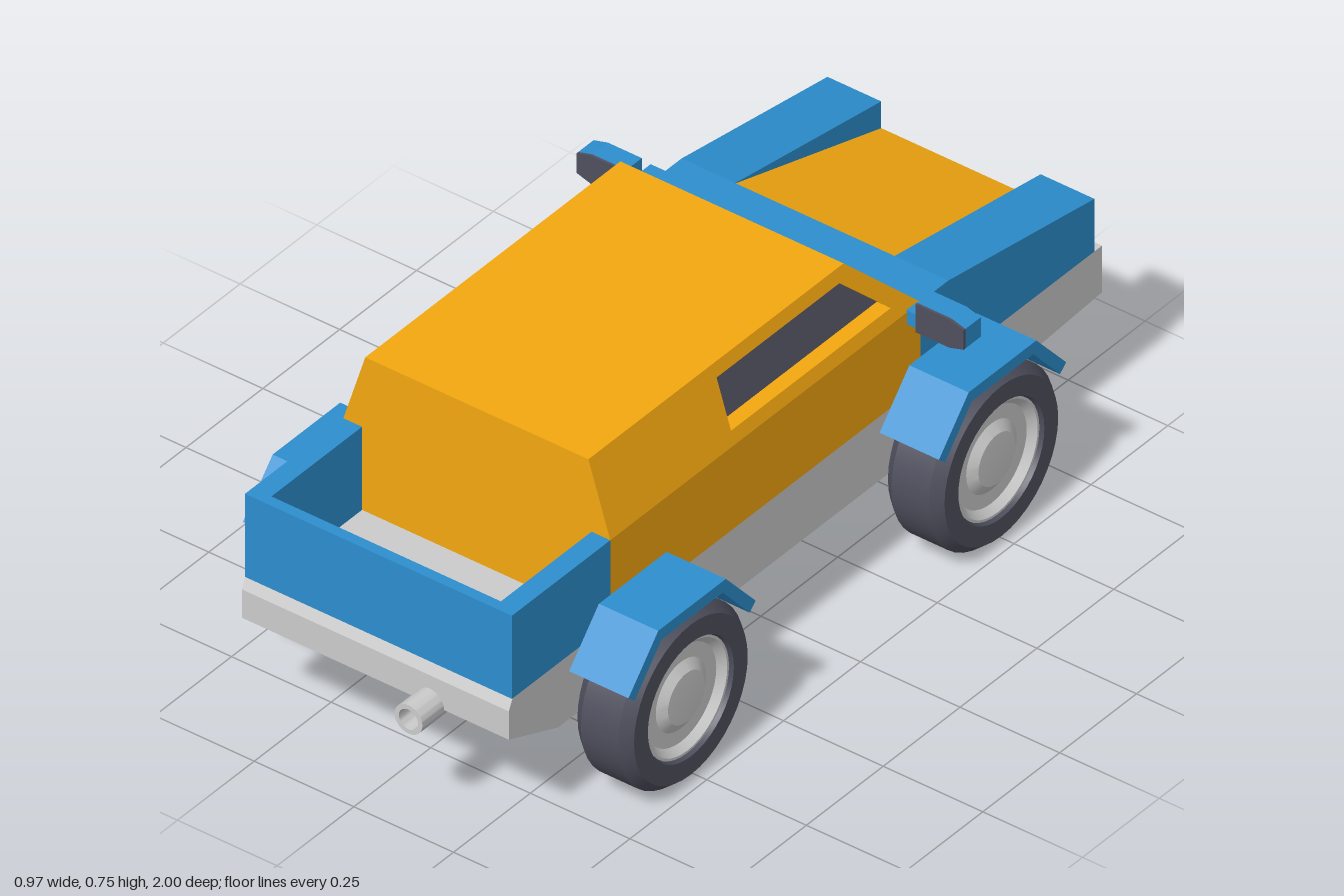
import * as THREE from 'three';
import { toCreasedNormals } from 'three/addons/utils/BufferGeometryUtils.js';

const mat = (color) => new THREE.MeshStandardMaterial({ color, side: THREE.DoubleSide });
const blue = mat(0x2d8fcf), orange = mat(0xf5a810), grey = mat(0xcccccc), dark = mat(0x50505f);

const shapeOf = (pts) => new THREE.Shape(pts.map((p) => new THREE.Vector2(p[0], p[1])));

function extrude(pts, depth, hole) {
  const shape = shapeOf(pts);
  if (hole) shape.holes.push(shapeOf(hole));
  return new THREE.ExtrudeGeometry(shape, { depth, bevelEnabled: false });
}

// side profile given as [z, y], swept in x from x0 to x1
const profile = (pts, x0, x1, hole) =>
  extrude(pts, x1 - x0, hole).rotateY(-Math.PI / 2).translate(x1, 0, 0);

function box(x0, x1, y0, y1, z0, z1) {
  return new THREE.BoxGeometry(x1 - x0, y1 - y0, z1 - z0)
    .translate((x0 + x1) / 2, (y0 + y1) / 2, (z0 + z1) / 2);
}

// lean a panel: shift one axis by base + slope * height above the beltline
function lean(geo, axis, base, slope) {
  const p = geo.attributes.position;
  for (let i = 0; i < p.count; i++) {
    p.setComponent(i, axis, p.getComponent(i, axis) + base + slope * (p.getY(i) - BELT));
  }
  geo.computeVertexNormals();
  return geo;
}

const W = 0.335, BELT = 0.575, ROOF = 0.75, ROOF_W = 0.28;
const SIDE_SLOPE = (ROOF_W - W) / (ROOF - BELT), SCREEN_SLOPE = 0.18 / (ROOF - BELT);

function add(parent, name, geo, material) {
  const mesh = new THREE.Mesh(geo, material);
  mesh.name = name;
  parent.add(mesh);
  return mesh;
}

function lathe(pts) {
  const geo = new THREE.LatheGeometry(pts.map((p) => new THREE.Vector2(p[0], p[1])), 40);
  return toCreasedNormals(geo, 0.45).rotateZ(-Math.PI / 2);
}

function makeWheel() {
  const wheel = new THREE.Group();
  wheel.name = 'wheel';
  add(wheel, 'tyre', lathe([[0.13, -0.05], [0.14, -0.071], [0.185, -0.071], [0.205, -0.047],
    [0.205, 0.047], [0.185, 0.071], [0.14, 0.071], [0.13, 0.05]]), dark);
  const half = [[0, 0.062], [0.06, 0.06], [0.082, 0.046], [0.115, 0.046], [0.13, 0.062], [0.138, 0.062]];
  const back = half.map(([r, y]) => [r, -y]);
  add(wheel, 'hub', lathe([...back, ...half.reverse()]), grey);
  return wheel;
}

// everything that appears once on each side, built for +x
function makeSide() {
  const side = new THREE.Group();

  // upper cabin side with window opening and recessed glass
  const opening = [[0.195, 0.72], [0.195, 0.605], [-0.325, 0.605], [-0.205, 0.72]];
  const panel = [[0.6, BELT], [0.6, ROOF], [-0.23, ROOF], [-0.41, BELT]];
  add(side, 'cabinSide', lean(profile(panel, -0.036, 0, opening), 0, W, SIDE_SLOPE), orange);
  add(side, 'sideWindow', lean(profile(opening, -0.04, -0.035), 0, W, SIDE_SLOPE), dark);

  // front wing and headlight
  add(side, 'frontWing', profile([[-0.5, 0.37], [-0.5, BELT], [-0.975, 0.5], [-0.975, 0.37]], 0.2, W), blue);
  add(side, 'headlight', new THREE.CylinderGeometry(0.037, 0.037, 0.012, 28)
    .rotateX(Math.PI / 2).translate(0.268, 0.437, -0.973), grey);

  // load bed wall
  add(side, 'bedSide', box(0.288, W, 0.37, BELT, 0.6, 0.92), blue);

  // wheels and angular arches
  for (const z of [0.527, -0.483]) {
    const wheel = makeWheel();
    wheel.position.set(0.41, 0.205, z);
    side.add(wheel);
    const arch = [[0.207, 0.33], [0.11, 0.44], [-0.11, 0.44], [-0.207, 0.33],
      [-0.187, 0.312], [-0.1, 0.412], [0.1, 0.412], [0.187, 0.312]];
    add(side, 'wheelArch', profile(arch.map(([u, v]) => [u + z, v]), W - 0.005, 0.484), blue);
  }

  // door mirror
  const outline = [[0.365, 0.546], [0.45, 0.546], [0.486, 0.557], [0.486, 0.605], [0.45, 0.615], [0.365, 0.615]];
  add(side, 'mirrorHousing', extrude(outline, 0.05).translate(0, 0, -0.41), blue);
  add(side, 'mirrorGlass', extrude(outline, 0.006).translate(0, 0, -0.36), dark);
  add(side, 'mirrorArm', box(0.32, 0.37, 0.546, 0.58, -0.4, -0.365), blue);
  return side;
}

export function createModel() {
  const car = new THREE.Group();
  car.name = 'pickupTruck';

  // chassis with raked ends
  add(car, 'chassis', profile([[0.918, 0.37], [0.93, 0.345], [0.93, 0.275], [0.77, 0.212],
    [-0.3, 0.212], [-1, 0.255], [-1, 0.37]], -W, W), grey);

  // cabin
  add(car, 'lowerCabin', box(-W, W, 0.37, BELT, -0.41, 0.6), orange);
  add(car, 'roof', box(-ROOF_W, ROOF_W, 0.725, ROOF, -0.23, 0.6), orange);
  const trapezoid = [[-W, BELT], [W, BELT], [ROOF_W, ROOF], [-ROOF_W, ROOF]];
  add(car, 'cabinRear', extrude(trapezoid, 0.03).translate(0, 0, 0.57), orange);
  const screen = [[-0.292, 0.58], [0.292, 0.58], [0.243, 0.71], [-0.243, 0.71]];
  add(car, 'windscreenFrame', lean(extrude(trapezoid, 0.025, screen), 2, -0.41, SCREEN_SLOPE), orange);
  add(car, 'windscreen', lean(extrude(screen, 0.005).translate(0, 0, 0.02), 2, -0.41, SCREEN_SLOPE), dark);

  // bonnet: cowl, nose and sunken centre panel
  add(car, 'cowl', box(-W, W, 0.37, BELT, -0.5, -0.41), blue);
  add(car, 'nose', profile([[-0.5, 0.37], [-0.5, 0.565], [-0.975, 0.425], [-0.975, 0.37]], -0.2, 0.2), blue);
  add(car, 'bonnetPanel', profile([[-0.5, 0.56], [-0.5, 0.574], [-0.975, 0.434], [-0.975, 0.42]], -0.2, 0.2), orange);

  // tailgate
  add(car, 'tailgate', box(-W, W, 0.37, BELT, 0.895, 0.92), blue);

  // exhaust pipe, open at the end
  const pipe = lathe([[0.024, 0.9], [0.035, 0.9], [0.035, 1], [0.024, 1], [0.024, 0.9]])
    .rotateY(-Math.PI / 2).translate(0.137, 0.277, 0);
  add(car, 'exhaustPipe', pipe, grey);
  add(car, 'exhaustHole', new THREE.CircleGeometry(0.025, 24).translate(0.137, 0.277, 0.95), dark);

  // both sides
  const left = makeSide(), right = makeSide();
  left.name = 'leftSide';
  right.name = 'rightSide';
  right.scale.x = -1;
  car.add(left, right);
  return car;
}
